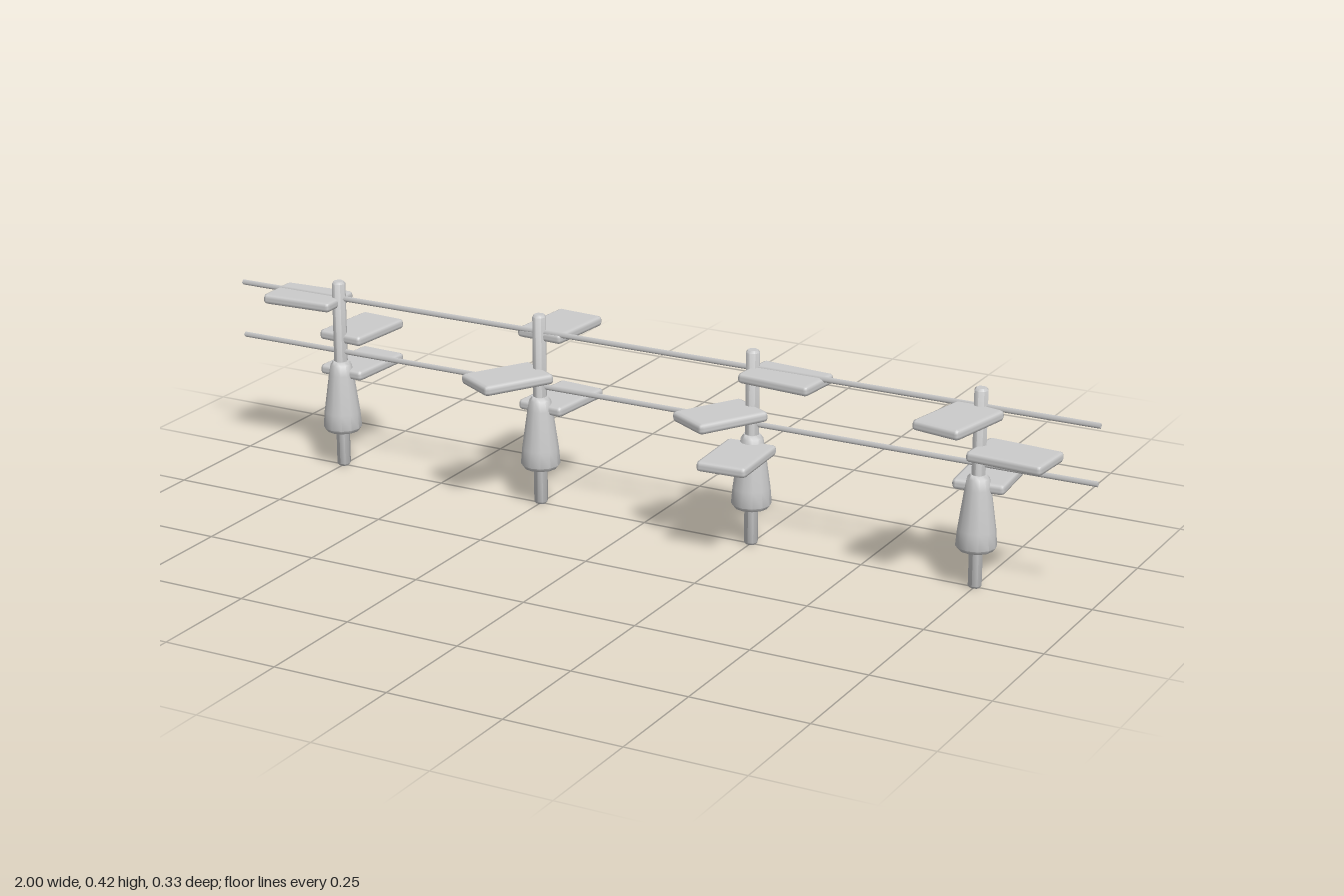
import * as THREE from 'three';
import { toCreasedNormals } from 'three/addons/utils/BufferGeometryUtils.js';
import { RoundedBoxGeometry } from 'three/addons/geometries/RoundedBoxGeometry.js';

const grey = new THREE.MeshStandardMaterial({ color: 0xcccccc });

function part(name, geometry, parent) {
  const mesh = new THREE.Mesh(geometry, grey);
  mesh.name = name;
  parent.add(mesh);
  return mesh;
}

// Turned solid from [radius, y] pairs, bottom to top
function turned(points, sides) {
  const profile = points.map(([r, y]) => new THREE.Vector2(r, y));
  return toCreasedNormals(new THREE.LatheGeometry(profile, sides), 0.85);
}

const POST_X = [-0.75, -0.25, 0.25, 0.75];
const PLANK_Y = [0.212, 0.291, 0.373];
const WIRE_Y = [0.262, 0.382];

// Plank headings in degrees, from +x towards +z; low, middle and top per post
const HEADINGS = [
  [-87, -86, 177],
  [-85, 120, -86],
  [87, 120, 5],
  [-95, 4, 101],
];

export function createModel() {
  const model = new THREE.Group();
  model.name = 'plankPostFence';

  const postGeo = turned([[0, 0], [0.011, 0], [0.015, 0.005], [0.015, 0.415], [0.011, 0.42], [0, 0.42]], 8);
  const sleeveGeo = turned([
    [0, 0.082], [0.036, 0.082], [0.042, 0.09], [0.039, 0.125],
    [0.027, 0.21], [0.023, 0.232], [0.017, 0.24], [0, 0.24],
  ], 12);

  // Chamfered plank whose inner end sits on the post axis
  const plankGeo = new RoundedBoxGeometry(0.165, 0.023, 0.11, 1, 0.009);
  plankGeo.translate(0.0775, 0, 0);

  POST_X.forEach((x, i) => {
    const station = new THREE.Group();
    station.name = 'postStation';
    station.position.x = x;
    model.add(station);
    part('post', postGeo, station);
    part('sleeve', sleeveGeo, station);
    PLANK_Y.forEach((y, level) => {
      const plank = part('plank', plankGeo, station);
      plank.position.y = y;
      plank.rotation.y = -THREE.MathUtils.degToRad(HEADINGS[i][level]);
    });
  });

  // Two thin four-sided wires through all posts
  const wireGeo = new THREE.CylinderGeometry(0.006, 0.006, 2, 4);
  wireGeo.rotateZ(Math.PI / 2);
  for (const y of WIRE_Y) part('wire', wireGeo, model).position.y = y;

  return model;
}
